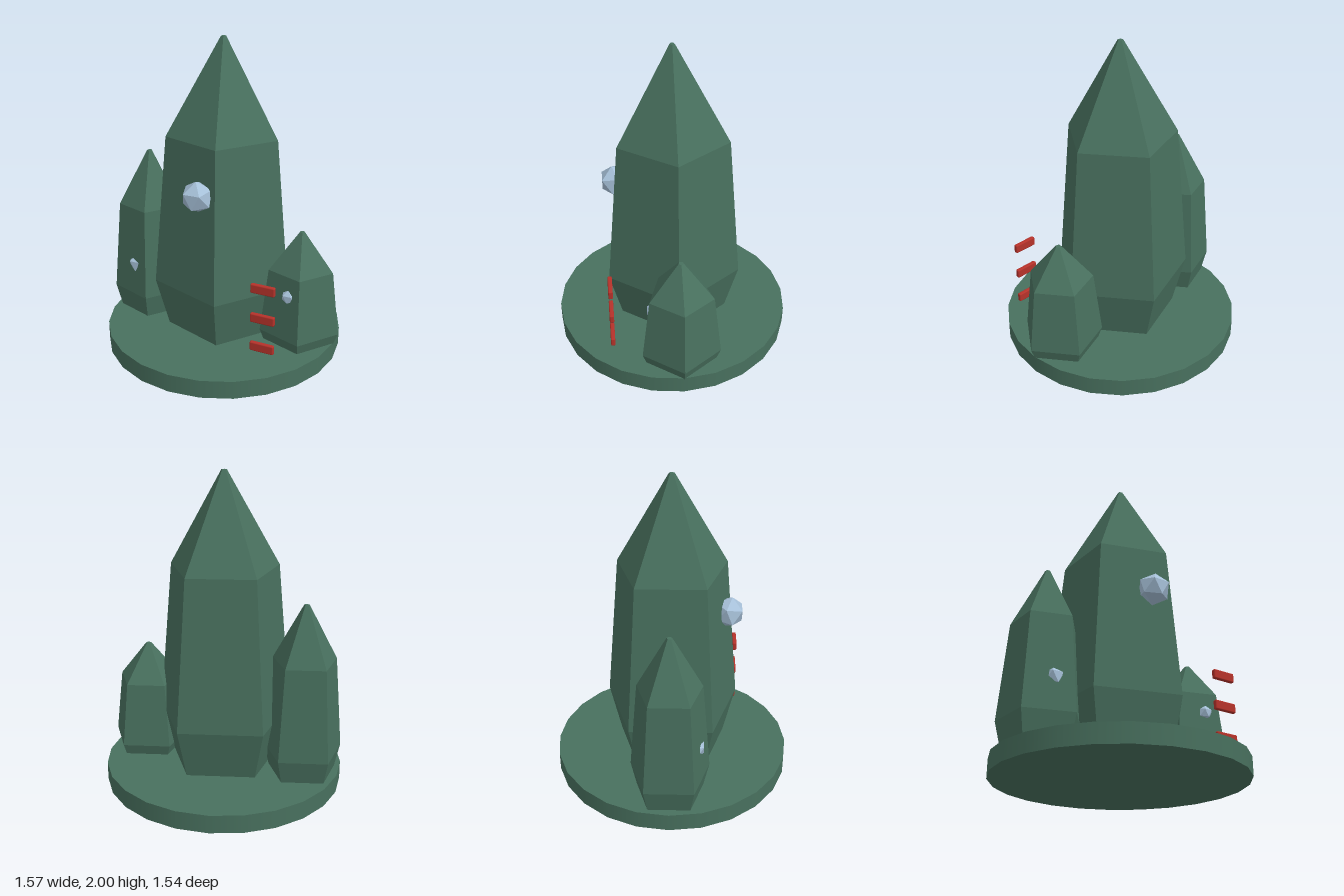
import * as THREE from 'three';
import { RoundedBoxGeometry } from 'three/addons/geometries/RoundedBoxGeometry.js';

export function createModel() {
  const green = new THREE.MeshStandardMaterial({ color: 0x48705e });
  green.name = 'mossGreen';
  const blue = new THREE.MeshStandardMaterial({ color: 0xa6c0d8 });
  blue.name = 'paleBlue';
  const red = new THREE.MeshStandardMaterial({ color: 0xb6322a });
  red.name = 'signalRed';

  const model = new THREE.Group();
  model.name = 'crystalCluster';
  const add = (name, geometry, material, x, y, z) => {
    const mesh = new THREE.Mesh(geometry, material);
    mesh.name = name;
    mesh.position.set(x, y, z);
    model.add(mesh);
  };

  // round plinth
  add('base', new THREE.CylinderGeometry(0.768, 0.768, 0.116, 24), green, -0.017, 0.058, 0);

  // five-sided crystal: narrow foot, wide girdle, shoulder, small flat tip; one corner faces +x
  const crystal = (name, x, radius, foot, girdle, shoulder, tip) => {
    const profile = [
      [0, foot], [radius * 0.8, foot], [radius, girdle],
      [radius * 0.803, shoulder], [0.017, tip], [0, tip],
    ].map(([r, y]) => new THREE.Vector2(r, y));
    const geometry = new THREE.LatheGeometry(profile, 5, Math.PI / 2).toNonIndexed();
    geometry.computeVertexNormals(); // faceted
    add(name, geometry, green, x, 0, 0);
  };
  crystal('mainCrystal', -0.017, 0.45, 0.09, 0.435, 1.4, 2);
  crystal('rightCrystal', -0.555, 0.26, 0.055, 0.265, 0.86, 1.22);
  crystal('leftCrystal', 0.52, 0.26, 0.04, 0.185, 0.6, 0.84);

  // half-sunk gems, each with one triangular face to the front, pointing down
  const t = (1 + Math.sqrt(5)) / 2;
  const gem = (name, radius, x, y, z) => {
    const geometry = new THREE.IcosahedronGeometry(radius, 0);
    geometry.rotateY(-Math.atan2(t, 1 + 2 * t));
    geometry.rotateZ(-Math.PI / 2);
    add(name, geometry, blue, x, y, z);
  };
  gem('mainGem', 0.102, -0.018, 1.105, 0.357);
  gem('rightGem', 0.07, -0.574, 0.474, 0.152);
  gem('leftGem', 0.05, 0.508, 0.472, 0.168);

  // three floating bars
  [0.235, 0.428, 0.622].forEach((y, i) => {
    add(`bar${i + 1}`, new RoundedBoxGeometry(0.154, 0.058, 0.028, 2, 0.008), red, 0.442, y, 0.426);
  });

  return model;
}
